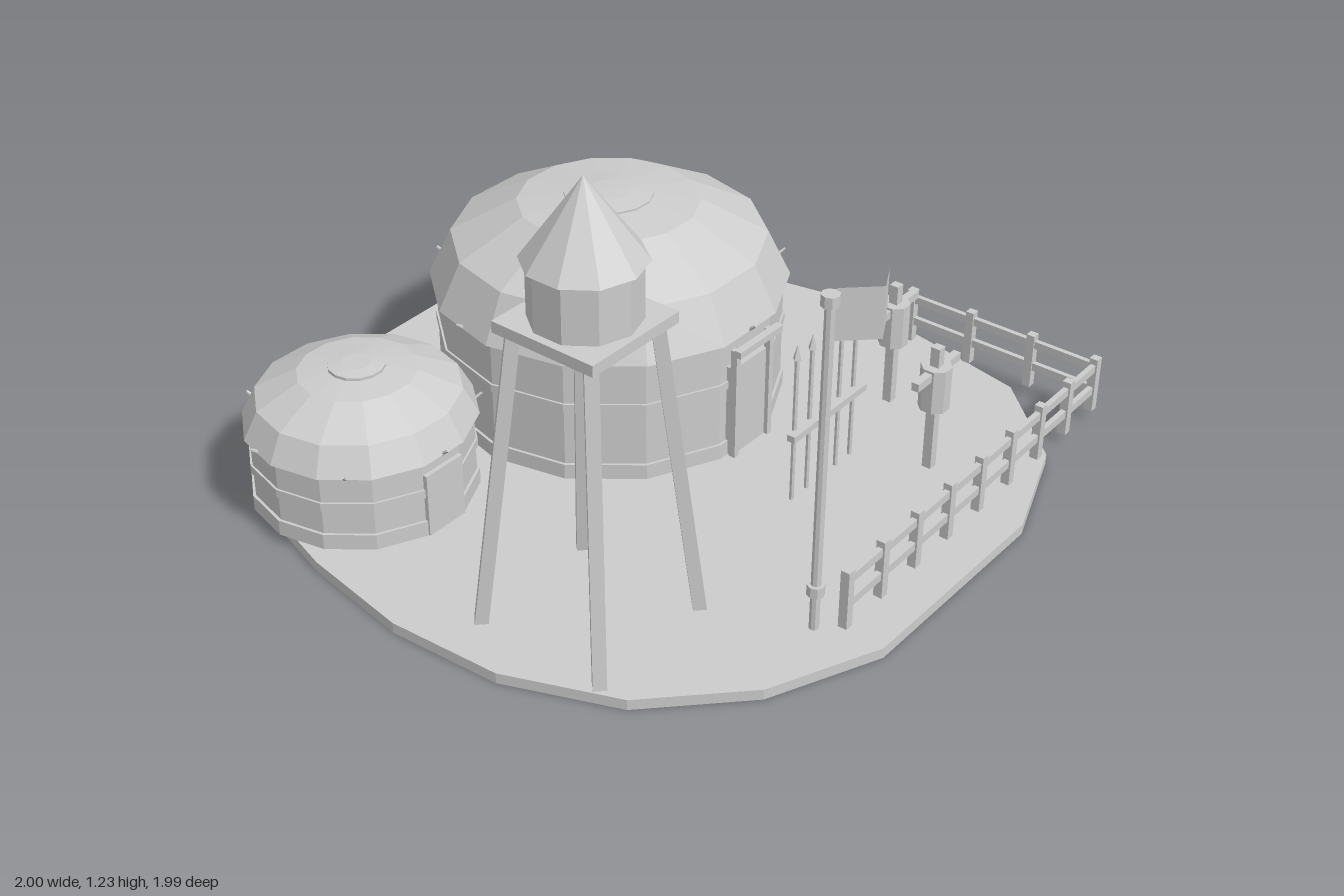
import * as THREE from 'three';

const stone = new THREE.MeshStandardMaterial({ color: 0xcccccc });
stone.name = 'plain grey';
const cloth = new THREE.MeshStandardMaterial({ color: 0xcccccc, side: THREE.DoubleSide });
cloth.name = 'plain grey cloth';

// Faceted mesh
function part(name, geo, parent, x = 0, y = 0, z = 0, mat = stone) {
  const g = geo.index ? geo.toNonIndexed() : geo;
  g.computeVertexNormals();
  const m = new THREE.Mesh(g, mat);
  m.name = name;
  m.position.set(x, y, z);
  parent.add(m);
  return m;
}
function group(name, parent, x = 0, y = 0, z = 0) {
  const g = new THREE.Group();
  g.name = name;
  g.position.set(x, y, z);
  parent.add(g);
  return g;
}
// Box between two heights
function block(name, parent, w, y0, y1, d, x = 0, z = 0) {
  return part(name, new THREE.BoxGeometry(w, y1 - y0, d), parent, x, (y0 + y1) / 2, z);
}
// Turned profile of [radius, height] pairs
function turned(name, parent, pts, sides, start = 0) {
  return part(name, new THREE.LatheGeometry(pts.map(p => new THREE.Vector2(...p)), sides, start), parent);
}

const FLOOR = 0.03;

// Round felt tent: wall, skirt, rope, domed roof, crown ring and eave pegs
function tent(name, parent, x, z, d) {
  const t = group(name, parent, x, 0, z);
  const N = 14, s = Math.PI / N;
  turned('wall', t, [[d.wall, FLOOR], [d.wall, d.eave + 0.01]], N, s);
  turned('skirt', t, [[d.wall + 0.008, FLOOR], [d.wall + 0.008, d.skirt], [d.wall, d.skirt]], N, s);
  turned('rope', t, [[d.wall, d.rope - 0.012], [d.wall + 0.006, d.rope - 0.012],
    [d.wall + 0.006, d.rope + 0.012], [d.wall, d.rope + 0.012]], N, s);
  turned('roof', t, [[d.wall - 0.01, d.eave], ...d.roof, [0, d.roof[d.roof.length - 1][1]]], N, s);
  turned('crown', t, d.crown, N, s);
  for (let i = 0; i < 7; i++) {
    const a = Math.PI / 2 + i * Math.PI * 2 / 7;
    const r = d.roof[0][0] * Math.cos(s);
    const peg = part('peg', new THREE.CylinderGeometry(0.004, 0.006, 0.04, 5), t,
      Math.cos(a) * r, d.eave + 0.005, Math.sin(a) * r);
    peg.rotation.set(0, -a, -0.9);
  }
  return t;
}

// Four-legged lookout tank
function tower(parent, x, z) {
  const t = group('waterTower', parent, x, 0, z);
  const up = new THREE.Vector3(0, 1, 0);
  for (const sx of [-1, 1]) for (const sz of [-1, 1]) {
    const a = new THREE.Vector3(sx * 0.19, FLOOR - 0.005, sz * 0.19);
    const b = new THREE.Vector3(sx * 0.115, 0.86, sz * 0.115);
    const geo = new THREE.BoxGeometry(0.034, a.distanceTo(b), 0.034);
    geo.rotateY(Math.PI / 4);
    const leg = part('leg', geo, t);
    leg.position.copy(a).lerp(b, 0.5);
    leg.quaternion.setFromUnitVectors(up, b.clone().sub(a).normalize());
  }
  block('platform', t, 0.3, 0.85, 0.88, 0.3);
  part('tank', new THREE.CylinderGeometry(0.135, 0.135, 0.155, 10), t, 0, 0.955, 0);
  part('tankRoof', new THREE.ConeGeometry(0.15, 0.205, 10), t, 0, 1.132, 0);
}

// Pole with rings and a waving flag
function flagpole(parent, x, z) {
  const f = group('flagpole', parent, x, 0, z);
  part('pole', new THREE.CylinderGeometry(0.013, 0.013, 0.92, 8), f, 0, 0.49, 0);
  for (const y of [0.148, 0.955]) part('ring', new THREE.CylinderGeometry(0.023, 0.023, 0.03, 8), f, 0, y, 0);
  const geo = new THREE.PlaneGeometry(0.23, 0.14, 3, 1);
  const wave = [0, -0.04, 0.04, 0], p = geo.attributes.position;
  for (let i = 0; i < p.count; i++) p.setZ(i, wave[i % 4]);
  part('flag', geo, f, 0.125, 0.86, 0, cloth);
}

// Straight run of fence along x or z
function fence(name, parent, x0, z0, x1, z1, bays) {
  const f = group(name, parent);
  for (let i = 0; i <= bays; i++) {
    const k = i / bays;
    block('post', f, 0.025, FLOOR, 0.2, 0.025, x0 + (x1 - x0) * k, z0 + (z1 - z0) * k);
  }
  for (const y of [0.085, 0.158])
    block('rail', f, Math.max(x1 - x0, 0.015), y, y + 0.024, Math.max(z1 - z0, 0.015), (x0 + x1) / 2, (z0 + z1) / 2);
}

// Straw training figure on a post
function dummy(parent, x, z) {
  const d = group('trainingDummy', parent, x, 0, z);
  block('post', d, 0.027, FLOOR, 0.41, 0.027);
  part('body', new THREE.CylinderGeometry(0.043, 0.043, 0.13, 8, 1, false, Math.PI / 8), d, 0, 0.288, 0);
  block('arms', d, 0.208, 0.322, 0.346, 0.022);
}

export function createModel() {
  const root = new THREE.Group();
  root.name = 'camp';

  // Irregular ground slab
  const outline = [[-0.32, -0.98], [0.32, -1], [0.64, -0.89], [0.865, -0.63], [0.94, -0.32], [1, 0],
    [0.94, 0.32], [0.875, 0.63], [0.64, 0.88], [0.32, 0.99], [-0.32, 0.98], [-0.62, 0.845],
    [-0.85, 0.62], [-0.975, 0.32], [-1, 0], [-0.955, -0.32], [-0.87, -0.62], [-0.62, -0.86]];
  const shape = new THREE.Shape(outline.map(([x, z]) => new THREE.Vector2(x, -z)));
  const slab = new THREE.ExtrudeGeometry(shape, { depth: FLOOR, bevelEnabled: false });
  slab.rotateX(-Math.PI / 2);
  part('ground', slab, root);

  // Large tent with door and lintel
  const big = tent('largeTent', root, 0.168, -0.29, {
    wall: 0.492, eave: 0.395, skirt: 0.075, rope: 0.255,
    roof: [[0.51, 0.395], [0.445, 0.53], [0.257, 0.63], [0.12, 0.645]],
    crown: [[0.125, 0.635], [0.125, 0.65], [0.06, 0.658], [0, 0.66]]
  });
  block('door', big, 0.16, FLOOR, 0.31, 0.03, 0, 0.488);
  for (const s of [-1, 1]) block('doorPost', big, 0.018, FLOOR, 0.37, 0.02, s * 0.075, 0.505);
  block('lintel', big, 0.19, 0.362, 0.382, 0.022, 0, 0.525);

  // Small tent with door
  const small = tent('smallTent', root, -0.628, -0.48, {
    wall: 0.3, eave: 0.252, skirt: 0.075, rope: 0.16,
    roof: [[0.315, 0.252], [0.275, 0.33], [0.16, 0.388], [0.075, 0.398]],
    crown: [[0.077, 0.39], [0.077, 0.406], [0.04, 0.411], [0, 0.411]]
  });
  block('door', small, 0.13, FLOOR, 0.215, 0.025, 0, 0.293);

  tower(root, -0.665, 0.35);
  flagpole(root, -0.363, 0.805);
  fence('frontFence', root, -0.31, 0.86, 0.922, 0.86, 8);
  fence('sideFence', root, 0.922, 0.255, 0.922, 0.86, 3);

  // Rack of spears
  const rack = group('spearRack', root, 0.167, 0, 0.455);
  block('rail', rack, 0.335, 0.232, 0.252, 0.024, 0, 0.012);
  for (let i = -2; i <= 2; i++) {
    part('shaft', new THREE.CylinderGeometry(0.007, 0.007, 0.45, 6), rack, i * 0.068, 0.25, 0);
    part('spearhead', new THREE.ConeGeometry(0.013, 0.045, 4), rack, i * 0.068, 0.49, 0);
  }

  dummy(root, 0.6, 0.39);
  dummy(root, 0.393, 0.655);
  return root;
}
